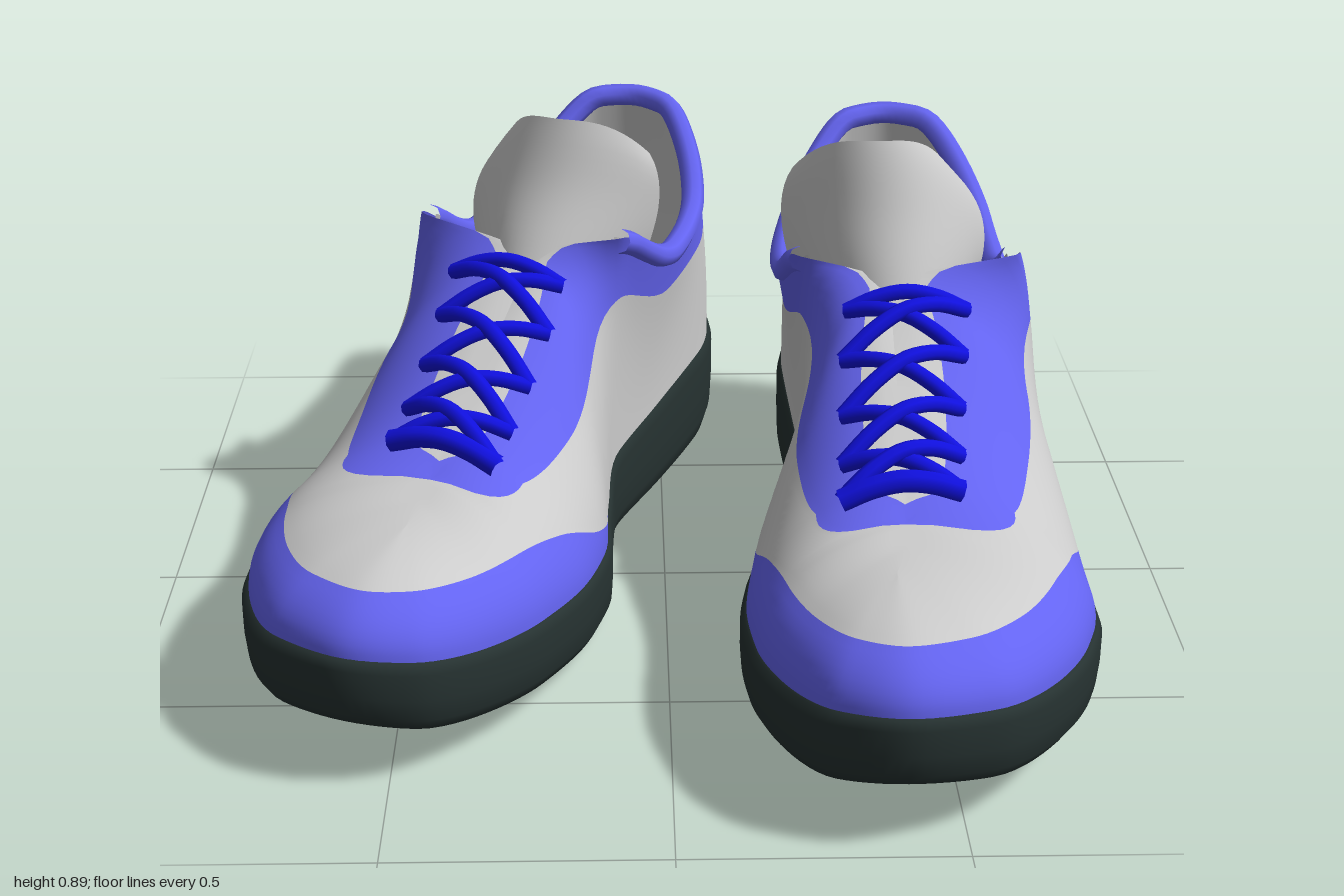
import * as THREE from 'three';
import { mergeVertices } from 'three/addons/utils/BufferGeometryUtils.js';

const N = 12; // stations run from heel (0) to toe (N); inner side negative, outer side positive
const V = (x, y, z) => new THREE.Vector3(x, y, z);

// Sole outline: z, inner x, outer x, bottom y, top y
const SOLE = [
  [-0.85, 0.51, 0.51, 0.075, 0.25], [-0.82, 0.40, 0.62, 0.06, 0.25], [-0.72, 0.30, 0.72, 0.04, 0.245],
  [-0.55, 0.26, 0.75, 0.015, 0.235], [-0.30, 0.27, 0.75, 0.005, 0.21], [-0.10, 0.28, 0.76, 0.005, 0.19],
  [0.12, 0.22, 0.785, 0.01, 0.172], [0.32, 0.15, 0.80, 0.025, 0.175], [0.50, 0.13, 0.795, 0.045, 0.19],
  [0.66, 0.14, 0.755, 0.065, 0.21], [0.82, 0.185, 0.67, 0.085, 0.23], [0.95, 0.265, 0.545, 0.11, 0.257],
  [1.00, 0.39, 0.39, 0.13, 0.27],
];
// Collar edge, then the ridge of the vamp: z, inner x, outer x, y, collar trim start, toe cap end
const TOP = [
  [-0.78, 0.50, 0.50, 0.755, 0.66, 0], [-0.755, 0.415, 0.585, 0.75, 0.66, 0], [-0.67, 0.325, 0.665, 0.67, 0.66, 0],
  [-0.53, 0.265, 0.705, 0.59, 0.72, 0], [-0.30, 0.235, 0.705, 0.575, 0.74, 0], [-0.05, 0.255, 0.70, 0.685, 0.6, 0],
  [0.00, 0.44, 0.44, 0.635, 0.42, 0], [0.22, 0.435, 0.435, 0.52, 0.48, 0.12], [0.42, 0.43, 0.43, 0.43, 0.6, 0.32],
  [0.54, 0.42, 0.42, 0.395, 1, 0.42], [0.62, 0.41, 0.41, 0.387, 1, 0.46], [0.67, 0.40, 0.40, 0.387, 1, 0.5],
  [0.70, 0.39, 0.39, 0.387, 1, 0.52],
];

// Smooth interpolation around the closed loop without overshoot; col 'x' picks the side
function at(table, col, j) {
  const get = (i) => {
    const m = ((i + N) % (2 * N) + 2 * N) % (2 * N) - N;
    return table[Math.abs(m)][col === 'x' ? (m < 0 ? 1 : 2) : col];
  };
  const slope = (i) => {
    const a = get(i) - get(i - 1), b = get(i + 1) - get(i);
    return a * b > 0 ? 2 * a * b / (a + b) : 0;
  };
  const i = Math.floor(j), t = j - i, p = get(i), q = get(i + 1);
  const s = t * t * (3 - 2 * t);
  return p + (q - p) * s + slope(i) * t * (1 - t) * (1 - t) - slope(i + 1) * t * t * (1 - t);
}

// Ring around the sole, pulled in by a, at height fraction h
function solePoint(j, a, h) {
  const cx = (at(SOLE, 'x', j) + at(SOLE, 'x', -j)) / 2;
  const yb = at(SOLE, 3, j), yt = at(SOLE, 4, j);
  return V(cx + (at(SOLE, 'x', j) - cx) * (1 - a), yb + (yt - yb) * h, at(SOLE, 0, j) * (1 - a * 0.4));
}
const topPoint = (j) => V(at(TOP, 'x', j), at(TOP, 3, j), at(TOP, 0, j));

// Upper surface: walls at the rear, an arch over the foot at the front, flatter beside the laces
function upperPoint(j, v) {
  const b = solePoint(j, 0.035, 0.96), t = topPoint(j), dy = t.y - b.y, k = Math.abs(j);
  const w = THREE.MathUtils.smoothstep(k, 4, 6), flat = Math.exp(-(((k - 7.3) / 1.2) ** 2));
  const p1 = V(b.x, b.y + dy * (0.4 + 0.2 * w - 0.2 * flat), b.z);
  const p2 = t.clone().lerp(b, 0.6 - 0.15 * flat).setY(t.y - (1 - w) * 0.35 * dy);
  return new THREE.CubicBezierCurve3(b, p1, p2, t).getPoint(v);
}

// Seam lines on the upper, as fractions from sole to top
const capEnd = (j) => at(TOP, 5, j);
const trimStart = (j) => {
  const k = Math.abs(j);
  return k < 8 ? at(TOP, 4, j) : 1 - 0.4 * Math.sqrt(Math.max(0, 1 - ((k - 8) / 0.9) ** 2));
};
const throat = (j) => 1 - 0.18 * Math.sqrt(Math.max(0, 1 - ((Math.abs(j) - 7) / 1.4) ** 2));

function createShoe(side) {
  const shoe = new THREE.Group();
  const add = (name, geometry, color, double) => {
    const material = new THREE.MeshStandardMaterial({ color });
    if (double) material.side = THREE.DoubleSide;
    const mesh = new THREE.Mesh(geometry, material);
    mesh.name = name;
    shoe.add(mesh);
  };
  const GREY = 0xcccccc, BLUE = 0x6464f0, LACE = 0x1010e0, DARK = 0x263231;

  // Grid surface from f(u, v); welded so seams shade smoothly
  const grid = (nu, nv, f) => {
    const pos = [], index = [];
    for (let i = 0; i <= nv; i++) for (let j = 0; j <= nu; j++) {
      const p = f(j / nu, i / nv);
      pos.push(p.x * side, p.y, p.z);
      if (i < nv && j < nu) {
        const a = i * (nu + 1) + j, b = a + 1, c = a + nu + 1, d = c + 1;
        index.push(...(side > 0 ? [a, c, b, b, c, d] : [a, b, c, b, d, c]));
      }
    }
    const g = new THREE.BufferGeometry();
    g.setAttribute('position', new THREE.Float32BufferAttribute(pos, 3));
    g.setIndex(index);
    const welded = mergeVertices(g, 1e-4);
    welded.computeVertexNormals();
    return welded;
  };
  const band = (lo, hi, n) => grid(192, n, (u, v) => {
    const j = (u * 2 - 1) * N;
    return upperPoint(j, THREE.MathUtils.lerp(lo(j), Math.max(lo(j), hi(j)), v));
  });
  const tube = (points, r, segments) => new THREE.TubeGeometry(
    new THREE.CatmullRomCurve3(points.map((p) => V(p.x * side, p.y, p.z))), segments, r, 8);

  // Sole with rounded edges; its top is the insole
  const profile = [[1, 0], [0.5, 0], [0.12, 0], [0.05, 0.05], [0.01, 0.22], [0, 0.5], [0, 0.85], [0.02, 0.97], [0.06, 1], [1, 1]];
  add('sole', grid(144, profile.length - 1, (u, v) => {
    const [a, h] = profile[Math.round(v * (profile.length - 1))];
    return solePoint((u * 2 - 1) * N, a, h);
  }), DARK);

  // Upper, cut into its panels
  add('toeCap', band(() => 0, capEnd, 8), BLUE, true);
  add('upper', band(capEnd, trimStart, 10), GREY, true);
  add('collarAndEyestay', band(trimStart, throat, 8), BLUE, true);
  add('throatLining', band(throat, () => 1, 3), GREY, true);

  // Lining inside the collar, and the padded rim that joins it to the upper
  add('lining', grid(80, 10, (u, v) => {
    const p = upperPoint((u * 2 - 1) * 5, v * 0.97);
    return V(0.48 + (p.x - 0.48) * 0.88, p.y, -0.25 + (p.z + 0.25) * 0.93);
  }), GREY, true);
  const rim = [];
  for (let j = -5; j <= 5.01; j += 0.25) {
    const p = topPoint(j);
    rim.push(V(0.48 + (p.x - 0.48) * 0.94, p.y - 0.012, -0.25 + (p.z + 0.25) * 0.965));
  }
  add('collarRim', tube(rim, 0.025, 90), BLUE);

  // Tongue: a curled sheet wrapping back into the collar, with a rounded top
  const spine = new THREE.CatmullRomCurve3([V(0.45, 0.56, 0.05), V(0.45, 0.66, 0), V(0.44, 0.77, -0.055), V(0.415, 0.9, -0.1)]);
  add('tongue', grid(24, 16, (u, v) => {
    const a = u * 2 - 1, p = spine.getPoint(v);
    const half = 0.18 + 0.03 * Math.sin(Math.min(1, v * 1.25) * Math.PI / 2) - 0.055 * v ** 5;
    return V(p.x + a * half, p.y - 0.09 * v * Math.abs(a) ** 3, p.z - (0.23 - 0.12 * v) * a * a);
  }), GREY, true);

  // Crossed laces over the throat, drawing in slightly towards the toe
  const eyelet = (sgn, k) => upperPoint(sgn * k, 0.72 + (sgn > 0 ? 0.04 * (k - 6) : 0)).add(V(0, 0.018, 0));
  const lace = (name, a, b, lift, r = 0.016) => {
    const at3 = (t) => a.clone().lerp(b, t).add(V(0, lift * Math.sin(Math.PI * t), 0));
    add(name, tube([0, 0.25, 0.5, 0.75, 1].map(at3), r, 16), LACE);
  };
  const rows = [0, 1, 2, 3, 4].map((i) => 6.0 + i * 0.55);
  for (let i = 0; i < 4; i++) {
    lace('lace', eyelet(-1, rows[i]), eyelet(1, rows[i + 1]), 0.04);
    lace('lace', eyelet(1, rows[i]), eyelet(-1, rows[i + 1]), 0.055);
  }
  lace('lowerLaceBar', eyelet(-1, rows[4]), eyelet(1, rows[4]), 0.03, 0.022);
  lace('upperLaceBar', eyelet(-1, rows[0]), eyelet(1, rows[0]), 0.04);
  return shoe;
}

export function createModel() {
  const model = new THREE.Group();
  model.name = 'pairOfShoes';
  const left = createShoe(1);
  left.name = 'leftShoe';
  const right = createShoe(-1);
  right.name = 'rightShoe';
  right.rotation.y = -0.365;
  right.position.set(0.143, 0, -0.01);
  model.add(left, right);
  return model;
}
